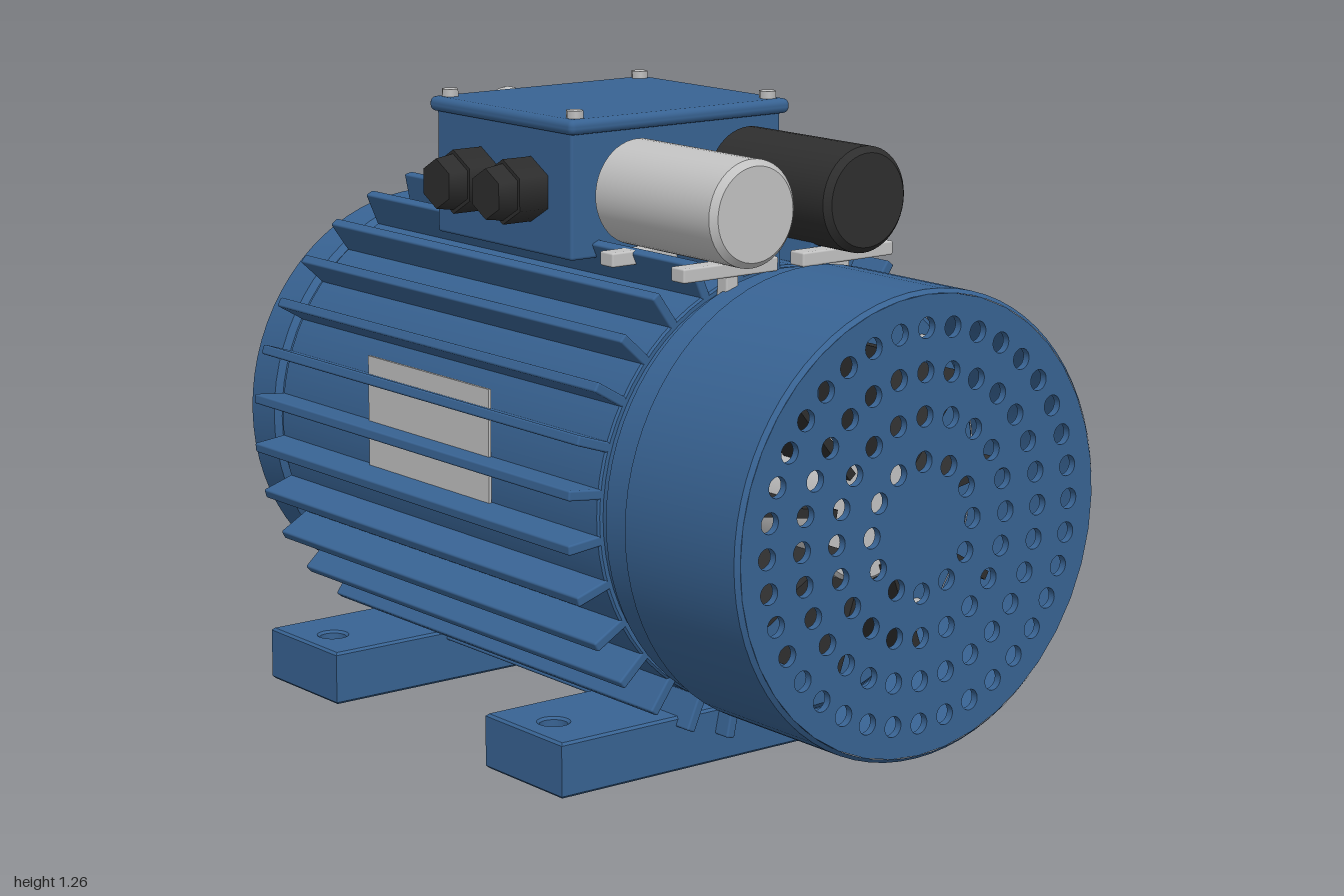
import * as THREE from 'three';
import { toCreasedNormals } from 'three/addons/utils/BufferGeometryUtils.js';
import { RoundedBoxGeometry } from 'three/addons/geometries/RoundedBoxGeometry.js';

const AXIS_Y = 0.545; // height of the shaft line

export function createModel() {
  const model = new THREE.Group();
  model.name = 'electricMotor';
  const mat = (name, color) => {
    const m = new THREE.MeshStandardMaterial({ color });
    m.name = name;
    return m;
  };
  const blue = mat('bluePaint', 0x386393);
  const black = mat('blackPlastic', 0x2e2e2e);
  const steel = mat('steel', 0xc3c3c3);

  const add = (name, geo, material, x = 0, y = 0, z = 0, parent = model) => {
    const mesh = new THREE.Mesh(geo, material);
    mesh.name = name;
    mesh.position.set(x, y, z);
    parent.add(mesh);
    return mesh;
  };
  const box = (w, h, d, r = 0.005) => new RoundedBoxGeometry(w, h, d, 2, r);

  // Everything turned about the shaft line; profile points are [x, radius]
  const drive = new THREE.Group();
  drive.name = 'drive';
  drive.position.y = AXIS_Y;
  model.add(drive);
  const turned = (name, profile, material, segments = 72) => {
    const geo = new THREE.LatheGeometry(profile.map(([x, r]) => new THREE.Vector2(r, x)), segments);
    geo.rotateZ(-Math.PI / 2);
    return add(name, toCreasedNormals(geo, 0.6), material, 0, 0, 0, drive);
  };
  const rod = (x0, x1, r, c = 0.008) => [[x0, 0], [x0, r - c], [x0 + c, r], [x1 - c, r], [x1, r - c], [x1, 0]];

  turned('statorBody', rod(-0.5, 0.58, 0.43, 0.004), blue);
  turned('bodyCore', rod(-0.55, 0.62, 0.418), blue);
  turned('frontEndShield', rod(-0.63, -0.515, 0.43, 0.015), blue);
  turned('rearEndShield', rod(0.592, 0.69, 0.43, 0.012), blue);
  turned('bearingCap', rod(-0.685, -0.62, 0.192, 0.014), blue);
  turned('shaft', rod(-1, -0.67, 0.085, 0.008), steel, 48);
  add('shaftKey', box(0.28, 0.03, 0.03), steel, -0.828, 0.08, 0, drive);

  // Cooling fins every 12 degrees, leaving the back side plain
  for (let deg = -60; deg <= 240; deg += 12) {
    if (deg === 180 || (deg > 168 && deg < 192)) continue;
    const a = THREE.MathUtils.degToRad(deg);
    if (deg > 240) continue;
    const fin = add('coolingFin', box(1.08, 0.1, 0.02, 0.004), blue, 0.04, Math.cos(a) * 0.45, Math.sin(a) * 0.45, drive);
    fin.rotation.x = a;
  }

  // End shield bolts, front and rear
  for (const x of [-0.635, 0.697]) {
    for (const sy of [-1, 1]) for (const sz of [-1, 1]) {
      const bolt = add('shieldBolt', new THREE.CylinderGeometry(0.02, 0.02, 0.03, 6), steel, x, sy * 0.264, sz * 0.268, drive);
      bolt.rotation.z = Math.PI / 2;
    }
  }

  // Fan cover: hollow shell and perforated end plate
  turned('fanCoverShell', [[0.985, 0.43], [0.68, 0.43], [0.68, 0.445], [0.992, 0.445], [1, 0.437]], blue);
  const plate = new THREE.Shape().absarc(0, 0, 0.437, 0, Math.PI * 2);
  [[0.125, 12], [0.21, 20], [0.293, 28], [0.375, 36]].forEach(([r, n]) => {
    for (let i = 0; i < n; i++) {
      const a = Math.PI / 2 + (i / n) * Math.PI * 2;
      plate.holes.push(new THREE.Path().absarc(r * Math.cos(a), r * Math.sin(a), 0.02, 0, Math.PI * 2, true));
    }
  });
  const grille = new THREE.ExtrudeGeometry(plate, { depth: 0.015, bevelEnabled: false, curveSegments: 20 });
  grille.rotateY(Math.PI / 2);
  add('fanCoverGrille', grille, blue, 0.985, 0, 0, drive);

  // Fan behind the grille
  turned('fanHub', rod(0.68, 0.85, 0.135), steel, 40);
  for (let i = 0; i < 9; i++) {
    const a = (i / 9) * Math.PI * 2;
    const blade = add('fanBlade', new THREE.BoxGeometry(0.17, 0.21, 0.018), black, 0.8, Math.cos(a) * 0.215, Math.sin(a) * 0.215, drive);
    blade.rotation.x = a;
  }

  // Mounting feet with bolt holes
  for (const x of [-0.342, 0.422]) {
    const w = 0.117, d = 0.483;
    const foot = new THREE.Shape([[-w, -d], [w, -d], [w, d], [-w, d]].map(([px, py]) => new THREE.Vector2(px, py)));
    for (const s of [-1, 1]) foot.holes.push(new THREE.Path().absarc(0, s * 0.415, 0.033, 0, Math.PI * 2, true));
    const geo = new THREE.ExtrudeGeometry(foot, { depth: 0.1, bevelThickness: 0.005, bevelSize: 0.005, bevelSegments: 1, curveSegments: 20 });
    geo.rotateX(-Math.PI / 2);
    add('mountingFoot', geo, blue, x, 0.005, 0);
  }

  // Rating plate on the front side, crossed by the fins
  add('ratingPlate', new THREE.BoxGeometry(0.41, 0.225, 0.006), steel, 0.04, 0.622, 0.434);

  // Terminal box, lid and lid screws
  add('terminalBox', box(0.445, 0.255, 0.525, 0.006), blue, 0.057, 1.097, 0);
  add('terminalBoxLid', box(0.475, 0.03, 0.552, 0.013), blue, 0.057, 1.229, -0.002);
  for (const x of [-0.15, 0.262]) for (const z of [-0.243, 0.241]) {
    add('lidScrew', new THREE.CylinderGeometry(0.018, 0.018, 0.02, 6), steel, x, 1.249, z);
  }

  // Cable glands
  for (const x of [-0.015, 0.15]) {
    const nut = add('glandNut', new THREE.CylinderGeometry(0.064, 0.064, 0.07, 6), black, x, 1.095, 0.296);
    const cap = add('glandCap', new THREE.CylinderGeometry(0.05, 0.056, 0.042, 6), black, x, 1.095, 0.351);
    nut.rotation.x = cap.rotation.x = Math.PI / 2;
  }

  // Capacitors on their brackets
  for (const [z, material] of [[0.138, steel], [-0.14, black]]) {
    const can = turned('capacitor', rod(0.315, 0.68, 0.103, 0.012), material, 48);
    can.position.set(0, 1.1 - AXIS_Y, z);
    for (const x of [0.385, 0.6]) {
      add('capacitorBracket', box(0.04, 0.028, 0.23, 0.004), steel, x, 0.988, z * 1.05);
      add('bracketPost', box(0.03, 0.05, 0.03, 0.004), steel, x, 0.955, z);
    }
  }

  // Lifting eye
  const eye = new THREE.Group();
  eye.name = 'liftingEye';
  eye.position.set(-0.275, 0, 0);
  model.add(eye);
  add('eyeRing', new THREE.TorusGeometry(0.067, 0.019, 16, 48), steel, 0, 1.146, 0, eye);
  add('eyeStem', new THREE.CylinderGeometry(0.021, 0.021, 0.06, 24), steel, 0, 1.05, 0, eye);
  add('eyeCollar', new THREE.CylinderGeometry(0.028, 0.028, 0.015, 24), steel, 0, 1.05, 0, eye);

  return model;
}
